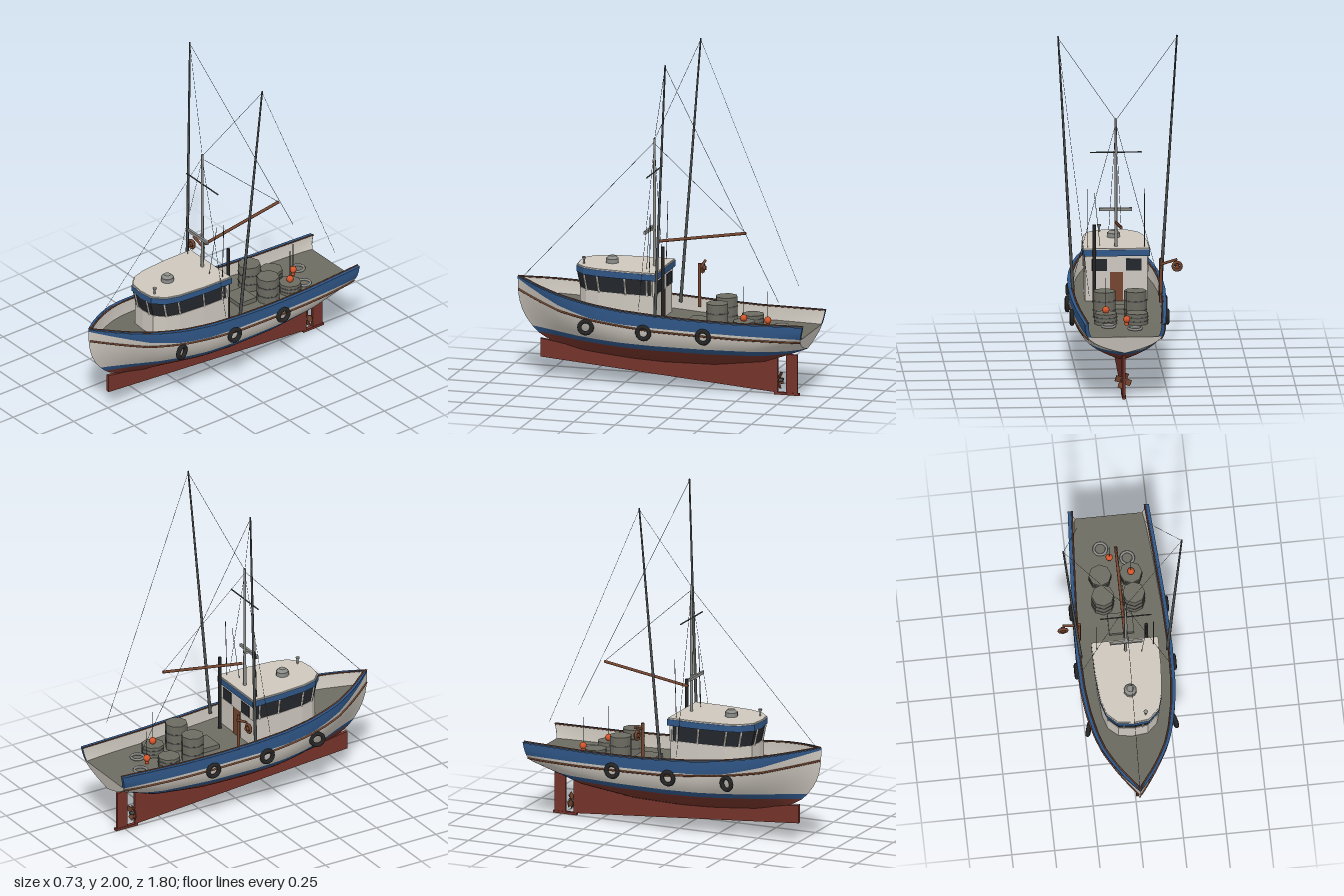
import * as THREE from 'three';

const mat = (name, color, side = THREE.FrontSide) => {
  const m = new THREE.MeshStandardMaterial({ color, side });
  m.name = name;
  return m;
};

// piecewise interpolation through [position, value] pairs
const table = (pts) => (s) => {
  let i = 0;
  while (i < pts.length - 2 && s > pts[i + 1][0]) i++;
  const [a, va] = pts[i], [b, vb] = pts[i + 1];
  return va + (vb - va) * THREE.MathUtils.clamp((s - a) / (b - a), 0, 1);
};

// hull lines along the length, stern to bow
const beam = table([[-.9, .232], [-.6, .252], [-.3, .27], [0, .278], [.2, .272], [.35, .256], [.5, .226], [.6, .194], [.7, .144], [.8, .08], [.86, .033], [.9, 0]]);
const sheer = table([[-.9, .465], [-.5, .46], [-.2, .467], [0, .478], [.2, .49], [.4, .51], [.6, .54], [.9, .588]]);
const bottom = table([[-.9, .285], [-.8, .25], [-.6, .187], [-.3, .147], [0, .14], [.2, .147], [.5, .172], [.75, .215], [.9, .26]]);
const blueEdge = table([[-.9, .39], [-.5, .395], [0, .408], [.2, .415], [.4, .432], [.6, .48], [.75, .53], [.9, .575]]);
const railLine = table([[-.9, .368], [-.5, .372], [0, .388], [.4, .422], [.6, .447], [.9, .512]]);
const deckLine = (s) => sheer(s) - .08;
const above = (s, y) => Math.max(y, bottom(s));
const stripeLow = (s) => above(s, .258 + .008 * Math.max(0, s));
const stripeTop = (s) => above(s, .292 + .008 * Math.max(0, s));

function hullPoint(s, y, side = 1, inset = 0) {
  const yk = bottom(s);
  const u = THREE.MathUtils.clamp((y - yk) / (sheer(s) - yk), 0, 1);
  const p = THREE.MathUtils.lerp(3.3, 1.3, THREE.MathUtils.smoothstep(s, .1, .9));
  const w = Math.max(0, beam(s) * (1 - (1 - u) ** p) - inset);
  const bow = Math.max(0, (s - .4) / .5), stern = Math.max(0, (-.6 - s) / .3);
  const z = s - .13 * bow * bow * (1 - u) ** 3 + .04 * stern * (1 - u);
  return new THREE.Vector3(side * w, y, z);
}

// grid surface from a function of (u, v) in 0..1
function loft(nu, nv, fn, flip = false) {
  const pos = [], idx = [];
  for (let i = 0; i <= nu; i++) for (let j = 0; j <= nv; j++) pos.push(...fn(i / nu, j / nv).toArray());
  for (let i = 0; i < nu; i++) for (let j = 0; j < nv; j++) {
    const a = i * (nv + 1) + j, b = a + 1, c = a + nv + 1, d = c + 1;
    if (flip) idx.push(a, c, b, b, c, d);
    else idx.push(a, b, c, b, d, c);
  }
  const g = new THREE.BufferGeometry();
  g.setAttribute('position', new THREE.Float32BufferAttribute(pos, 3));
  g.setIndex(idx);
  g.computeVertexNormals();
  return g;
}

export function createModel() {
  const D = THREE.DoubleSide;
  const white = mat('offWhite', 0xcdc7be, D), blue = mat('bluePaint', 0x2f5687, D), red = mat('bottomRed', 0x74332a, D);
  const deckGrey = mat('deckGrey', 0x6c6c62, D), wood = mat('brownWood', 0x74452f), black = mat('blackRubber', 0x242424);
  const glass = mat('darkGlass', 0x23262b), metal = mat('greyMetal', 0x8d8d8a), orange = mat('buoyOrange', 0xd4552b);
  const steel = mat('darkSteel', 0x4c4d4d);

  const boat = new THREE.Group();
  boat.name = 'fishingBoat';
  const add = (name, geo, m, x = 0, y = 0, z = 0) => {
    const mesh = new THREE.Mesh(geo, m);
    mesh.name = name;
    mesh.position.set(x, y, z);
    boat.add(mesh);
    return mesh;
  };
  const box = (name, m, w, h, d, x, y, z) => add(name, new THREE.BoxGeometry(w, h, d), m, x, y, z);
  const cyl = (name, m, r, h, x, y, z, n = 12, r2 = r) => add(name, new THREE.CylinderGeometry(r2, r, h, n), m, x, y, z);
  // round bar between two points
  const bar = (name, m, a, b, r, r2 = r, n = 8) => {
    const A = new THREE.Vector3(...a), B = new THREE.Vector3(...b), d = B.clone().sub(A);
    const mesh = cyl(name, m, r, d.length(), 0, 0, 0, n, r2);
    mesh.position.copy(A).addScaledVector(d, .5);
    mesh.quaternion.setFromUnitVectors(new THREE.Vector3(0, 1, 0), d.normalize());
    return mesh;
  };
  const station = (u) => -.9 + 1.8 * u;
  const mix = THREE.MathUtils.lerp;

  // hull sides in painted bands, bulwarks and rails
  for (const side of [1, -1]) {
    const flip = side > 0;
    const band = (name, m, lo, hi, n, inset = 0) => add(name, loft(60, n, (u, v) => {
      const s = station(u);
      return hullPoint(s, mix(lo(s), hi(s), v), side, inset);
    }, inset ? flip : !flip), m);
    band('hullBottom', red, bottom, stripeLow, 10);
    band('waterlineStripe', blue, stripeLow, stripeTop, 3);
    band('hullSide', white, stripeTop, blueEdge, 6);
    band('bulwarkOutside', blue, blueEdge, sheer, 4);
    band('bulwarkInside', white, deckLine, sheer, 2, .02);
    add('bulwarkCap', loft(60, 1, (u, v) => {
      const s = station(u), p = hullPoint(s, sheer(s), side, v * .026);
      if (!v) p.x += side * .004;
      p.y += .003;
      return p;
    }, !flip), blue);
    add('bulwarkEnd', loft(3, 1, (u, v) => hullPoint(-.9, mix(deckLine(-.9), sheer(-.9), u), side, v * .022), flip), blue);
    const rail = (name, line, r, inset, top) => {
      const pts = [];
      for (let i = 0; i <= 30; i++) {
        const s = -.9 + 1.795 * i / 30;
        pts.push(hullPoint(s, line(s), side, inset).setY(line(s) + top));
      }
      add(name, new THREE.TubeGeometry(new THREE.CatmullRomCurve3(pts), 60, r, 6), wood);
    };
    rail('rubRail', railLine, .006, -.002, 0);
    rail('capRail', sheer, .005, .02, .003);
  }
  add('deck', loft(60, 2, (u, v) => {
    const s = station(u), p = hullPoint(s, deckLine(s), 1, .004);
    p.x *= 1 - 2 * v;
    return p;
  }, true), deckGrey);
  add('transom', loft(10, 12, (u, v) => {
    const p = hullPoint(-.9, mix(bottom(-.9), deckLine(-.9), u));
    p.x *= 1 - 2 * v;
    return p;
  }), white);

  // keel, rudder and propeller
  const keel = new THREE.Shape([[.76, .23], [.76, .12], [-.68, .012], [-.68, .22], [-.3, .16], [.3, .165], [.6, .205]].map((p) => new THREE.Vector2(...p)));
  const keelGeo = new THREE.ExtrudeGeometry(keel, { depth: .02, bevelEnabled: false });
  keelGeo.translate(0, 0, -.01).rotateY(-Math.PI / 2);
  add('keel', keelGeo, red);
  box('rudder', red, .016, .235, .07, 0, .125, -.765);
  box('rudderShoe', red, .022, .014, .15, 0, .007, -.735);
  bar('propellerShaft', steel, [0, .085, -.66], [0, .085, -.71], .01);
  for (let i = 0; i < 4; i++) {
    const a = i * Math.PI / 2 + .35;
    const blade = box('propellerBlade', wood, .034, .036, .006, Math.cos(a) * .031, .085 + Math.sin(a) * .031, -.692);
    blade.rotation.set(0, .35, a, 'ZYX');
  }

  // wheelhouse, outlined from aft corner round the front
  const half = [[.182, .02], [.18, .2], [.166, .36], [.142, .44], [.085, .495], [0, .505]];
  const outline = [...half, ...half.slice(0, -1).reverse().map(([x, z]) => [-x, z])];
  const prism = (grow, h) => {
    const shape = new THREE.Shape(outline.map(([x, z]) => new THREE.Vector2(x * (1 + grow), -(z + (z - .23) * grow))));
    return new THREE.ExtrudeGeometry(shape, { depth: h, bevelEnabled: false }).rotateX(-Math.PI / 2);
  };
  add('wheelhouseWall', prism(0, .18), white, 0, .395, 0);
  const lean = (z, t) => z + .045 * t * z;
  const panes = prism(-.015, .095), pp = panes.attributes.position;
  for (let i = 0; i < pp.count; i++) pp.setZ(i, lean(pp.getZ(i), pp.getY(i) / .095));
  panes.computeVertexNormals();
  add('windowBand', panes, glass, 0, .573, 0);
  for (const side of [1, -1]) {
    for (const [x, z] of [[.18, .03], [.181, .06], [.179, .19], [.164, .355], [.141, .437], [.055, .497]])
      bar('windowPost', white, [side * x, .57, z], [side * x, .672, lean(z, 1)], .0065, .0065, 4);
    box('aftWindow', glass, .09, .07, .006, side * .1, .615, .013);
  }
  box('aftWall', white, .362, .1, .012, 0, .622, .02);
  box('aftDoor', wood, .075, .2, .006, 0, .5, .0175);
  add('roof', prism(.075, .038), [white, blue], 0, .667, 0);
  add('roofCrown', prism(.05, .007), white, 0, .705, 0);

  // roof fittings
  cyl('radarBase', metal, .038, .026, 0, .724, .325, 10);
  cyl('radarDome', metal, .036, .016, 0, .745, .325, 10, .02);
  cyl('hornStem', metal, .006, .03, .075, .726, .475, 8);
  cyl('hornTop', metal, .009, .012, .075, .746, .475, 8, .013);
  bar('exhaustStack', black, [.13, .4, -.02], [.13, .86, -.02], .011);
  bar('antenna', steel, [-.165, .7, .05], [-.165, 1.06, .04], .002);
  bar('antenna', steel, [.165, .7, .05], [.165, 1.06, .04], .002);
  bar('antenna', steel, [.09, .7, .09], [.125, 1.03, .06], .0015);

  // mast, spars and outriggers
  bar('mast', metal, [0, .7, .07], [0, 1.47, .07], .0095, .007);
  bar('mastCrossbar', steel, [-.15, 1.27, .07], [.15, 1.27, .07], .004);
  box('mastLightBar', metal, .19, .018, .014, 0, .925, .1);
  box('mastBracket', metal, .02, .014, .04, 0, .925, .085);
  bar('boom', wood, [0, .858, .05], [0, .945, -.485], .009);
  const wire = (a, b) => bar('rigging', steel, a, b, .0012, .0012, 4);
  wire([0, 1.45, .07], [0, .585, .87]);
  wire([0, 1.44, .07], [0, .95, -.48]);
  for (const side of [1, -1]) {
    bar('outrigger', steel, [side * .252, .44, -.01], [side * .345, 2, -.103], .01, .005);
    wire([0, 1.46, .07], [side * .345, 1.99, -.103]);
    wire([side * .345, 1.99, -.103], [side * .2, .6, -.745]);
    wire([0, 1.44, .07], [side * .25, .5, .09]);

    // tyre fenders
    for (const [z, x] of [[.41, .25], [.05, .284], [-.31, .276]]) {
      const tyre = add('tyreFender', new THREE.TorusGeometry(.036, .013, 8, 20), black, side * x, .377, z);
      tyre.rotation.y = Math.PI / 2 + (z > .4 ? side * .3 : 0);
    }
  }

  // side winch
  bar('winchPost', wood, [-.25, .42, -.125], [-.25, .68, -.125], .01);
  bar('winchArm', wood, [-.245, .645, -.13], [-.345, .675, -.13], .008);
  add('winchWheel', new THREE.TorusGeometry(.024, .009, 6, 14), wood, -.345, .63, -.115);
  bar('winchHub', wood, [-.345, .63, -.135], [-.345, .63, -.1], .013);

  // deck gear
  box('hatch', deckGrey, .145, .03, .125, 0, .4, -.207);
  for (const x of [-.09, .09]) for (const [z, top] of [[-.34, .54], [-.5, .445]]) {
    const h = top - .38;
    cyl('barrel', deckGrey, .066, h, x, .38 + h / 2, z, 8);
    for (const t of [.3, .65]) cyl('barrelHoop', steel, .068, .007, x, .38 + h * t, z, 8);
  }
  for (const [x, z, y, top] of [[.09, -.5, .463, .65], [-.025, -.61, .43, .6]]) {
    add('buoy', new THREE.SphereGeometry(.021, 12, 8), orange, x, y, z);
    cyl('buoyNeck', orange, .012, .03, x, y - .02, z, 8);
    bar('buoyPole', steel, [x, y, z], [x, top, z], .002);
  }
  for (const [x, z] of [[-.07, -.68], [.08, -.61]]) {
    const coil = add('ropeCoil', new THREE.TorusGeometry(.037, .008, 6, 18), metal, x, .392, z);
    coil.rotation.x = Math.PI / 2;
  }

  boat.position.x = .01;
  const model = new THREE.Group();
  model.add(boat);
  return model;
}
